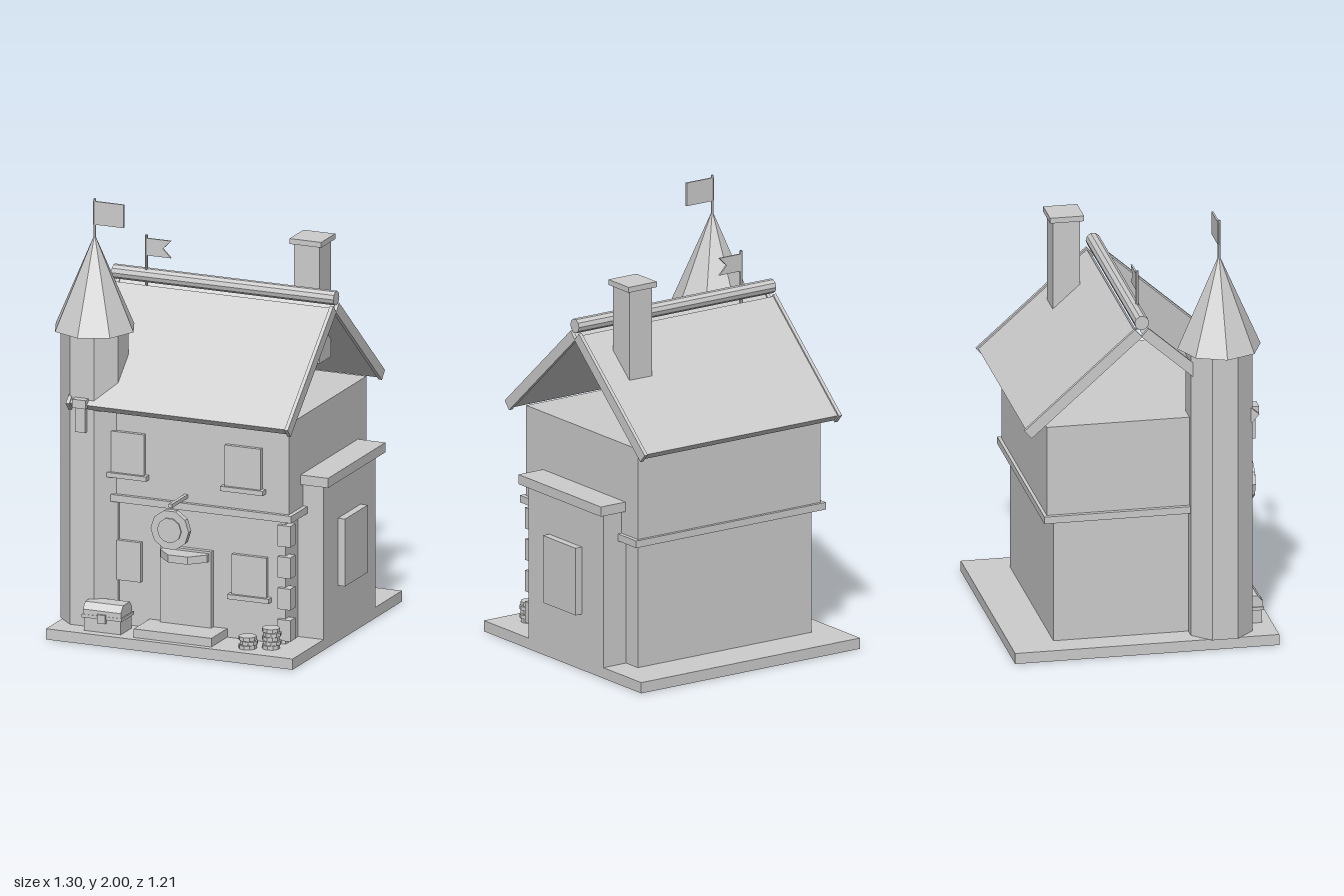
import * as THREE from 'three';

export function createModel() {
  const root = new THREE.Group();
  root.name = 'house';
  const stone = new THREE.MeshStandardMaterial({ color: 0xcccccc, flatShading: true });
  stone.name = 'stone grey';

  const add = (name, geo, x = 0, y = 0, z = 0, parent = root) => {
    const m = new THREE.Mesh(geo, stone);
    m.name = name;
    m.position.set(x, y, z);
    parent.add(m);
    return m;
  };
  // Box given by its limits on each axis
  const box = (name, x0, x1, y0, y1, z0, z1) =>
    add(name, new THREE.BoxGeometry(x1 - x0, y1 - y0, z1 - z0), (x0 + x1) / 2, (y0 + y1) / 2, (z0 + z1) / 2);
  // Upright prism or cone given by its bottom and top
  const prism = (name, r0, r1, y0, y1, x, z, sides, turn = 0) => {
    const m = add(name, new THREE.CylinderGeometry(r1, r0, y1 - y0, sides), x, (y0 + y1) / 2, z);
    m.rotation.y = turn;
    return m;
  };
  const extrude = (pts, depth) =>
    new THREE.ExtrudeGeometry(new THREE.Shape(pts.map(p => new THREE.Vector2(...p))), { depth, bevelEnabled: false });

  // Base and walls
  box('base', -0.59, 0.615, 0, 0.05, -0.605, 0.6);
  box('lowerWalls', -0.465, 0.49, 0.05, 0.635, -0.405, 0.395);
  box('floorBand', -0.51, 0.535, 0.627, 0.66, -0.455, 0.435);
  box('upperWalls', -0.49, 0.515, 0.66, 1.08, -0.44, 0.415);

  // Side annex
  box('annex', 0.48, 0.615, 0.05, 0.767, -0.315, 0.257);
  box('annexCap', 0.48, 0.65, 0.767, 0.812, -0.345, 0.287);
  box('annexWindow', 0.61, 0.65, 0.26, 0.573, -0.15, 0.1);

  // Roof slopes with raised boards along the gable edges
  for (const side of [1, -1]) {
    const slope = new THREE.Group();
    slope.name = side > 0 ? 'frontRoof' : 'backRoof';
    slope.position.set(0.0135, 1.289, -0.014 + side * 0.267);
    slope.rotation.x = side * 0.724;
    root.add(slope);
    add('roofSlab', new THREE.BoxGeometry(1.052, 0.036, 0.66), 0, 0, 0, slope);
    for (const end of [1, -1])
      add('gableBoard', new THREE.BoxGeometry(0.017, 0.05, 0.674), end * 0.5345, 0, 0, slope);
  }
  add('ridge', new THREE.CylinderGeometry(0.033, 0.033, 1.086, 10), 0.0135, 1.56, -0.014).rotation.z = Math.PI / 2;

  // Chimney
  box('chimney', 0.3, 0.425, 1.21, 1.755, -0.25, -0.125);
  box('chimneyCap', 0.285, 0.44, 1.755, 1.78, -0.265, -0.11);

  // Corner tower
  const tx = -0.463, tz = 0.351;
  prism('tower', 0.152, 0.152, 0.05, 1.4, tx, tz, 8, Math.PI / 8);
  prism('towerRoof', 0.19, 0, 1.4, 1.835, tx, tz, 8);
  prism('towerFlagpole', 0.006, 0.006, 1.82, 2, tx, tz, 6);
  box('towerFlag', -0.47, -0.32, 1.88, 1.988, tz - 0.004, tz + 0.004);
  box('lanternTop', -0.495, -0.43, 1.07, 1.11, 0.48, 0.528);
  box('lanternBody', -0.488, -0.438, 0.955, 1.07, 0.48, 0.513);

  // Ridge flag with swallow tail
  prism('ridgeFlagpole', 0.006, 0.006, 1.47, 1.75, -0.367, -0.003, 6);
  add('ridgeFlag', extrude([[-0.365, 1.655], [-0.245, 1.655], [-0.285, 1.695], [-0.245, 1.735], [-0.365, 1.735]], 0.008), 0, 0, -0.007);

  // Front windows: x0, x1, y0, y1, wall z, has a sill
  for (const [x0, x1, y0, y1, z, sill] of [
    [-0.345, -0.185, 0.765, 0.955, 0.415, true],
    [0.21, 0.385, 0.765, 0.955, 0.415, true],
    [-0.38, -0.21, 0.26, 0.445, 0.395, false],
    [0.235, 0.405, 0.26, 0.445, 0.395, true],
  ]) {
    box('window', x0, x1, y0, y1, z - 0.01, z + 0.02);
    if (sill) box('windowSill', x0 - 0.015, x1 + 0.017, y0 - 0.022, y0, z - 0.01, z + 0.035);
  }

  // Door, hood and step
  box('door', -0.112, 0.137, 0.09, 0.445, 0.385, 0.42);
  prism('doorHood', 0.124, 0.124, 0.4, 0.435, 0.013, 0.395, 8, Math.PI / 8);
  box('doorStep', -0.175, 0.205, 0.05, 0.09, 0.39, 0.57);

  // Hanging round sign and its arm
  for (const [name, r, depth, z] of [['signBoard', 0.093, 0.03, 0.583], ['signDisc', 0.058, 0.008, 0.601]]) {
    const geo = new THREE.CylinderGeometry(r, r, depth, 10).rotateY(Math.PI / 10).rotateX(Math.PI / 2);
    add(name, geo, 0.013, 0.578, z);
  }
  box('signArm', 0.004, 0.021, 0.68, 0.697, 0.41, 0.588);

  // Corner stones
  for (let i = 0; i < 4; i++)
    box('cornerStone', 0.46, 0.522, 0.07 + i * 0.146, 0.168 + i * 0.146, 0.358, 0.415);

  // Chest with sloped lid, rims and clasp
  box('chestBody', -0.425, -0.245, 0.05, 0.122, 0.435, 0.555);
  box('chestRim', -0.433, -0.237, 0.112, 0.127, 0.427, 0.562);
  const lid = extrude([[-0.56, 0.127], [-0.435, 0.127], [-0.435, 0.15], [-0.46, 0.18], [-0.535, 0.18], [-0.56, 0.15]], 0.185);
  add('chestLid', lid, -0.4275, 0, 0).rotation.y = Math.PI / 2;
  box('chestClasp', -0.355, -0.315, 0.095, 0.135, 0.55, 0.571);

  // Coin stacks
  for (const [x, z, count] of [[0.361, 0.515, 3], [0.457, 0.474, 5]])
    for (let i = 0; i < count; i++)
      prism('coin', 0.041, 0.041, 0.05 + i * 0.0195, 0.067 + i * 0.0195, x + (i % 2 ? 0.003 : -0.003), z, 10, i * 0.3);

  return root;
}
